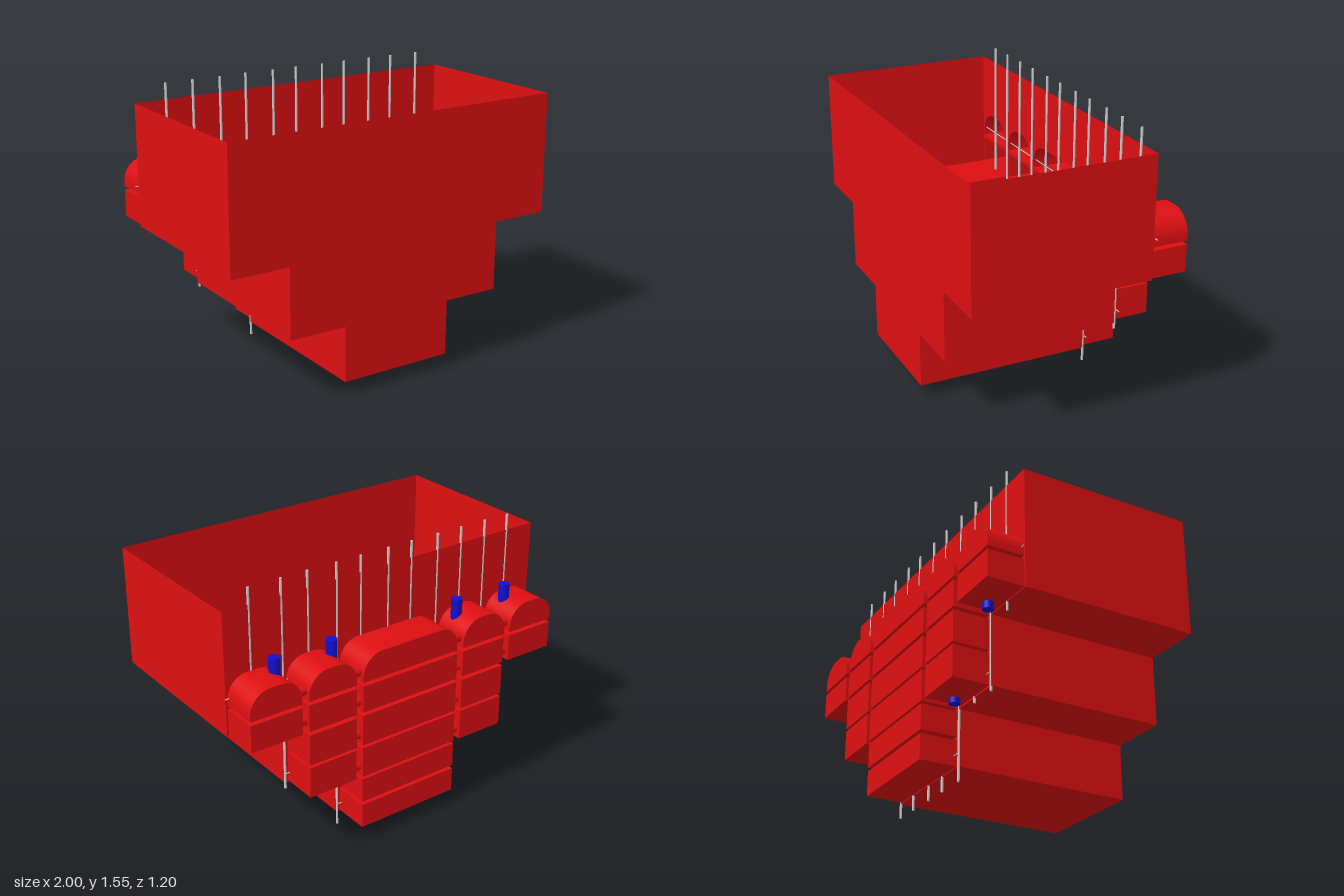
import * as THREE from 'three';
import { toCreasedNormals } from 'three/addons/utils/BufferGeometryUtils.js';

const red = new THREE.MeshStandardMaterial({ color: 0xdd0f12, side: THREE.DoubleSide });
const blue = new THREE.MeshStandardMaterial({ color: 0x1010d0 });
const grey = new THREE.MeshStandardMaterial({ color: 0xcccccc });

const FRONT = 0.6, WALL = -0.395, BACK = -0.6;

function add(group, name, geometry, material, x = 0, y = 0, z = 0) {
  const mesh = new THREE.Mesh(geometry, material);
  mesh.name = name;
  mesh.position.set(x, y, z);
  group.add(mesh);
  return mesh;
}

// Sweep an outline (counter-clockwise seen from +z) along z into thin walls facing outward
function sweep(points, z0, z1) {
  const v = [];
  for (let i = 0; i + 1 < points.length; i++) {
    const a = points[i], b = points[i + 1];
    v.push(a.x, a.y, z0, b.x, b.y, z0, b.x, b.y, z1);
    v.push(a.x, a.y, z0, b.x, b.y, z1, a.x, a.y, z1);
  }
  const g = new THREE.BufferGeometry();
  g.setAttribute('position', new THREE.Float32BufferAttribute(v, 3));
  g.computeVertexNormals();
  return toCreasedNormals(g, 0.6);
}

// Brick outline, with rounded upper corners when r > 0
function brickOutline(x0, x1, y0, y1, r) {
  const p = [new THREE.Vector2(x0, y0), new THREE.Vector2(x1, y0)];
  const n = r > 0 ? 10 : 0;
  for (const [cx, start] of [[x1 - r, 0], [x0 + r, Math.PI / 2]]) {
    for (let i = 0; i <= n; i++) {
      const t = start + (n ? (i / n) * Math.PI / 2 : 0);
      p.push(n ? new THREE.Vector2(cx + r * Math.cos(t), y1 - r + r * Math.sin(t))
        : new THREE.Vector2(cx, y1));
    }
  }
  return p;
}

export function createModel() {
  const model = new THREE.Group();
  model.name = 'steppedTank';

  // Stepped tank outline, from upper left down and round to upper right
  const half = [[0.33, 0.08], [0.33, 0.39], [0.66, 0.39], [0.66, 0.78], [0.99, 0.78], [0.99, 1.455]];
  const outline = [
    ...half.map(([x, y]) => new THREE.Vector2(-x, y)).reverse(),
    ...half.map(([x, y]) => new THREE.Vector2(x, y)),
  ];
  const tank = new THREE.Group();
  tank.name = 'tank';
  model.add(tank);
  add(tank, 'tankSidesAndFloors', sweep(outline, WALL, FRONT).rotateY(0), red);
  add(tank, 'frontWall', new THREE.ShapeGeometry(new THREE.Shape(outline)), red, 0, 0, FRONT);
  const backShape = new THREE.Shape(outline);

  // Hollow bricks, open toward the tank, stacked in five columns
  const layers = [[0.955, 1.105], [0.785, 0.935], [0.59, 0.765], [0.4, 0.575], [0.245, 0.385], [0.085, 0.225]];
  const columns = [
    [-0.98, -0.68, 2], [-0.64, -0.35, 4], [-0.31, 0.31, 6], [0.35, 0.64, 4], [0.68, 0.98, 2],
  ];
  const bricks = new THREE.Group();
  bricks.name = 'bricks';
  model.add(bricks);
  for (const [x0, x1, count] of columns) {
    for (let i = 0; i < count; i++) {
      const [y0, y1] = layers[i];
      const points = brickOutline(x0, x1, y0, y1, i === 0 ? 0.12 : 0);
      add(bricks, 'brickShell', sweep([...points, points[0]], BACK, WALL), red);
      const cap = new THREE.ShapeGeometry(new THREE.Shape(points)).rotateY(0);
      add(bricks, 'brickBack', cap, red, 0, 0, BACK);
      backShape.holes.push(new THREE.Path(points));
      // Short neck down to the brick below
      if (i + 1 < count) {
        const gap = y0 - layers[i + 1][1];
        add(bricks, 'brickNeck', new THREE.CylinderGeometry(0.03, 0.03, gap, 16, 1, true), red,
          (x0 + x1) / 2, y0 - gap / 2, -0.52);
      }
    }
  }
  add(tank, 'backWall', new THREE.ShapeGeometry(backShape), red, 0, 0, WALL);

  // Short pipes joining neighbouring columns
  for (const s of [-1, 1]) {
    for (const [x, count] of [[0.66, 2], [0.33, 4]]) {
      for (let i = 0; i < count; i++) {
        const pipe = new THREE.CylinderGeometry(0.027, 0.027, 0.04, 16, 1, true).rotateZ(Math.PI / 2);
        add(bricks, 'joiningPipe', pipe, red, s * x, layers[i][0] + 0.05, -0.557);
      }
    }
  }

  // Blue pins running down through the side columns
  for (const s of [-1, 1]) {
    for (const [x, bottom] of [[0.75, 0.745], [0.41, 0.37]]) {
      const h = 1.18 - bottom;
      add(model, 'bluePin', new THREE.CylinderGeometry(0.03, 0.03, h, 20), blue, s * x, bottom + h / 2, -0.465);
    }
  }

  // Upright rods along the back wall
  const rods = [
    [-0.81, 0.735], [-0.65, 0.365], [-0.485, 0.365], [-0.325, 0], [-0.15, 0], [0, 0],
    [0.175, 0], [0.325, 0], [0.5, 0.355], [0.655, 0.355], [0.84, 0.735],
  ];
  for (const [x, bottom] of rods) {
    const h = 1.545 - bottom;
    add(model, 'uprightRod', new THREE.CylinderGeometry(0.007, 0.007, h, 10), grey, x, bottom + h / 2, -0.391);
  }

  // Thin cross wires behind the rods
  for (const [x0, x1, y] of [[-1, 1, 1], [-0.66, 0.67, 0.455], [-0.345, 0.33, 0.14]]) {
    const wire = new THREE.CylinderGeometry(0.003, 0.003, x1 - x0, 6).rotateZ(Math.PI / 2);
    add(model, 'crossWire', wire, grey, (x0 + x1) / 2, y, -0.41);
  }
  return model;
}
